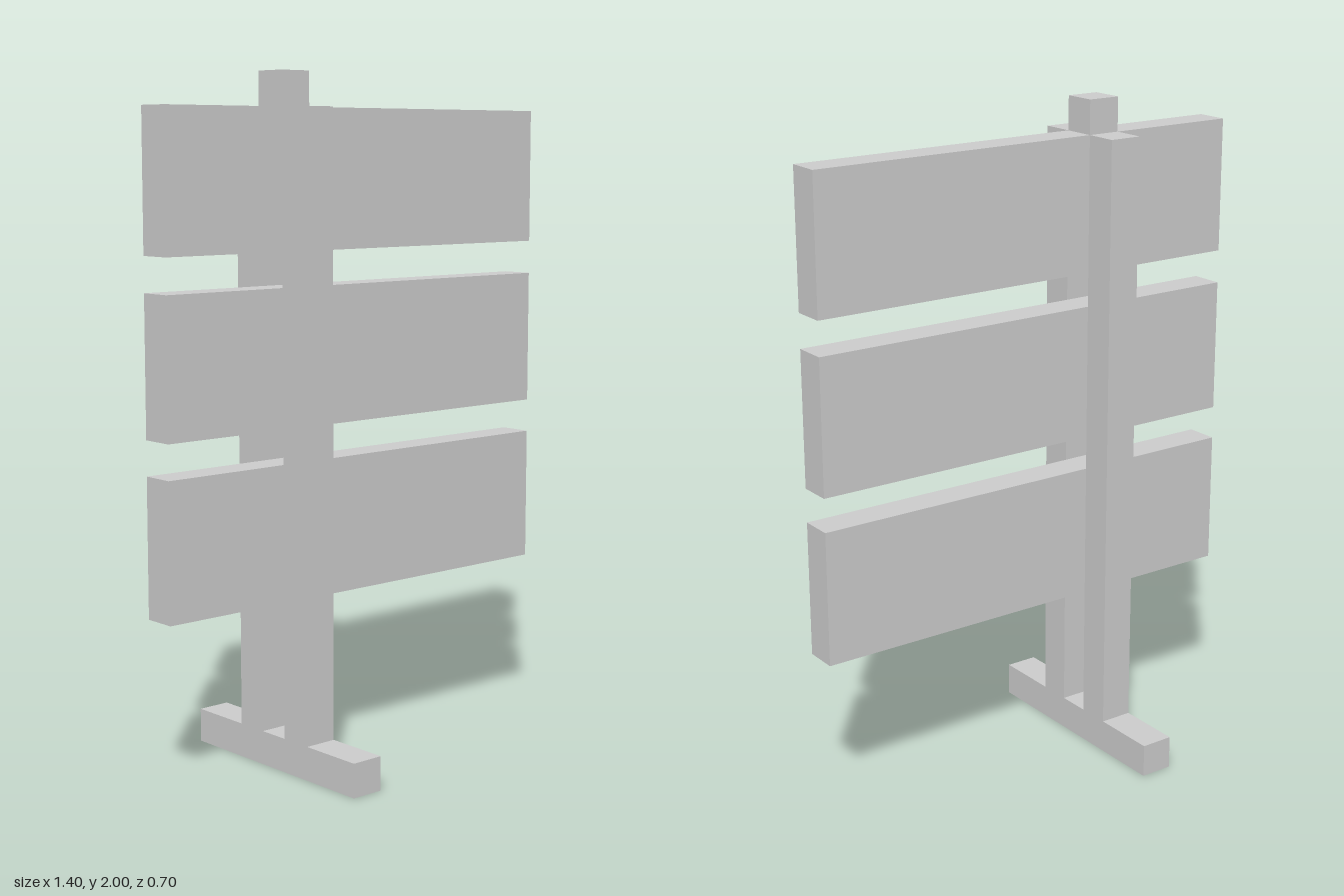
import * as THREE from 'three';

export function createModel() {
  const group = new THREE.Group();
  const material = new THREE.MeshStandardMaterial({ color: 0xcccccc, flatShading: true });
  const postX = -0.25;

  // Box placed by the height of its underside
  function addBox(name, [w, h, d], x, bottom, z) {
    const mesh = new THREE.Mesh(new THREE.BoxGeometry(w, h, d), material);
    mesh.name = name;
    mesh.position.set(x, bottom + h / 2, z);
    group.add(mesh);
  }

  // Foot running front to back
  addBox('foot', [0.1, 0.1, 0.7], postX, 0, 0);

  // Two uprights clamping the boards
  addBox('frontPost', [0.1, 1.8, 0.1], postX, 0.1, 0.1);
  addBox('backPost', [0.1, 1.8, 0.1], postX, 0.1, -0.1);

  // Three boards between the uprights
  for (let i = 0; i < 3; i++) {
    addBox(`board${i + 1}`, [1.4, 0.4, 0.1], 0, 0.5 + i * 0.5, 0);
  }

  // Small block on the top board
  addBox('topBlock', [0.1, 0.1, 0.1], postX, 1.9, 0);

  return group;
}
